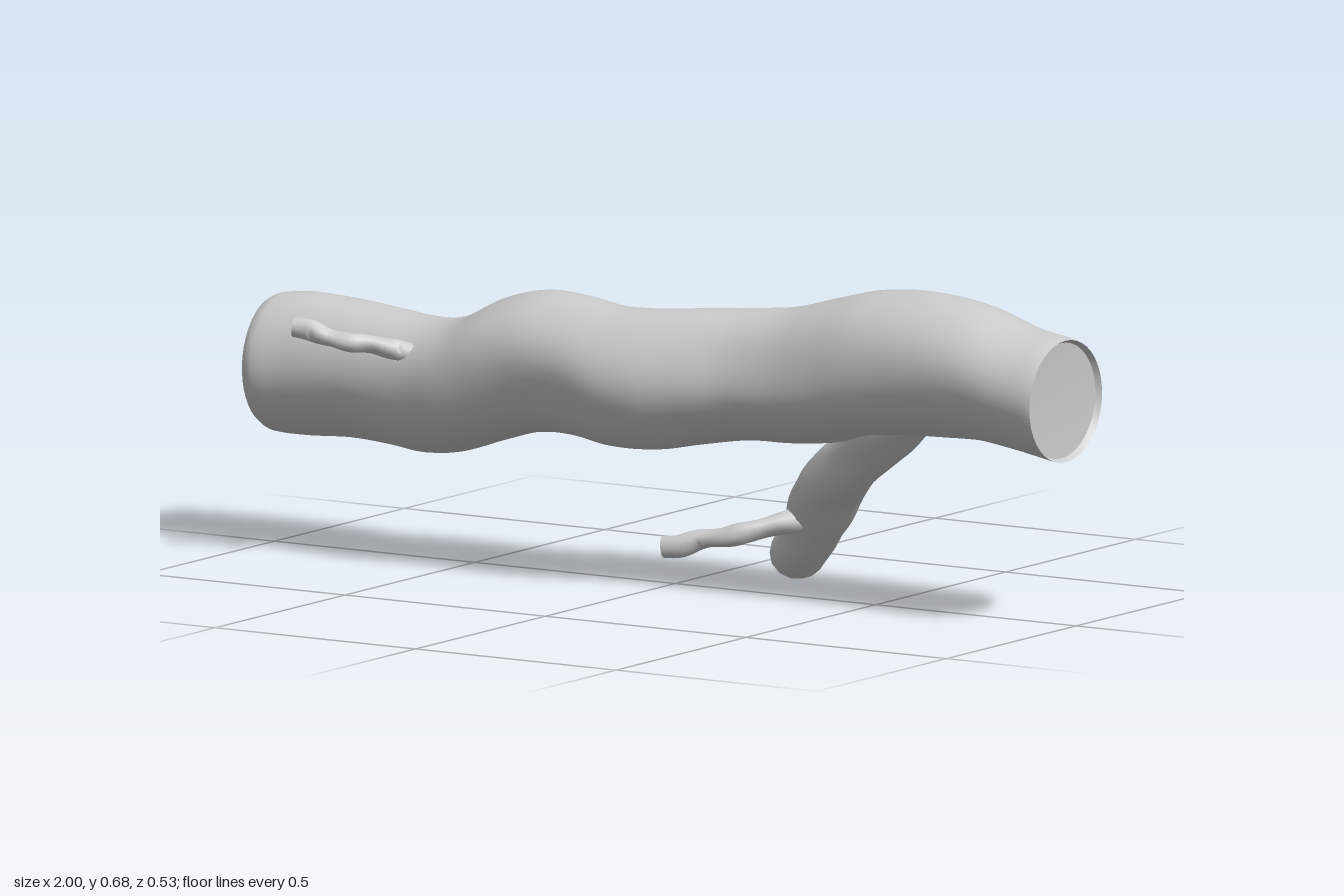
import * as THREE from 'three';
import { toCreasedNormals } from 'three/addons/utils/BufferGeometryUtils.js';

const material = new THREE.MeshStandardMaterial({ color: 0xcccccc });

// Skin a list of rings; each end is closed to the given centre point.
function loft(name, rings, startCentre, endCentre) {
  const sides = rings[0].length;
  const all = [rings[0].map(() => startCentre), ...rings, rings[0].map(() => endCentre)];
  const positions = all.flat().flatMap((p) => p.toArray());
  const index = [];
  for (let i = 0; i < all.length - 1; i++) {
    for (let j = 0; j < sides; j++) {
      const k = (j + 1) % sides;
      const a = i * sides + j, b = i * sides + k;
      const c = b + sides, d = a + sides;
      if (i > 0) index.push(a, b, c);
      if (i < all.length - 2) index.push(a, c, d);
    }
  }
  const geometry = new THREE.BufferGeometry();
  geometry.setAttribute('position', new THREE.Float32BufferAttribute(positions, 3));
  geometry.setIndex(index);
  const mesh = new THREE.Mesh(toCreasedNormals(geometry, 0.8), material);
  mesh.name = name;
  return mesh;
}

// Main log: top, bottom, back and front extents along its length.
function makeLog() {
  const stations = [
    // x, top, bottom, back z, front z
    [-1.0, 0.522, 0.248, -0.125, 0.125],
    [-0.975, 0.532, 0.237, -0.135, 0.135],
    [-0.9, 0.537, 0.235, -0.14, 0.13],
    [-0.8, 0.53, 0.24, -0.145, 0.132],
    [-0.7, 0.52, 0.236, -0.145, 0.145],
    [-0.6, 0.515, 0.23, -0.13, 0.165],
    [-0.5, 0.53, 0.245, -0.108, 0.185],
    [-0.4, 0.578, 0.277, -0.1, 0.193],
    [-0.3, 0.605, 0.305, -0.1, 0.195],
    [-0.2, 0.603, 0.31, -0.1, 0.198],
    [-0.1, 0.59, 0.297, -0.1, 0.205],
    [0.0, 0.59, 0.296, -0.115, 0.195],
    [0.1, 0.597, 0.312, -0.14, 0.17],
    [0.2, 0.603, 0.325, -0.15, 0.147],
    [0.3, 0.614, 0.326, -0.147, 0.145],
    [0.4, 0.64, 0.335, -0.138, 0.152],
    [0.5, 0.665, 0.358, -0.13, 0.16],
    [0.6, 0.676, 0.37, -0.125, 0.163],
    [0.7, 0.675, 0.376, -0.12, 0.166],
    [0.8, 0.66, 0.38, -0.115, 0.17],
    [0.9, 0.63, 0.37, -0.11, 0.176],
    [0.975, 0.618, 0.358, -0.105, 0.18],
    [1.0, 0.612, 0.354, -0.1, 0.18],
  ];
  const curve = (i, j) => new THREE.CatmullRomCurve3(
    stations.map((s) => new THREE.Vector3(s[0], s[i], s[j])), false, 'catmullrom');
  const heights = curve(1, 2), depths = curve(3, 4);
  const sides = 40, steps = 110;

  const ring = (t, scale, dx) => {
    const h = heights.getPoint(t), d = depths.getPoint(t);
    return Array.from({ length: sides }, (_, j) => {
      const a = (j / sides) * Math.PI * 2;
      // soft twisting ridges that fade out at the sawn ends
      const fade = Math.sin(Math.PI * t);
      const r = scale * (1 + fade * (0.025 * Math.sin(3 * a + 4 * h.x) + 0.015 * Math.sin(5 * a - 6 * h.x)));
      return new THREE.Vector3(h.x + dx,
        (h.y + h.z) / 2 + Math.cos(a) * r * (h.y - h.z) / 2,
        (d.y + d.z) / 2 + Math.sin(a) * r * (d.z - d.y) / 2);
    });
  };
  const rings = [];
  for (let i = 0; i <= steps; i++) rings.push(ring(i / steps, 1, 0));
  // shallow rim around the right-hand sawn face
  rings.push(ring(1, 0.95, -0.012));
  return loft('log', rings, new THREE.Vector3(-1, 0.385, 0), new THREE.Vector3(0.98, 0.483, 0.04));
}

// Knobbly branch following a path of [x, y, z, radius] points.
function makeBranch(name, path, sides, lump) {
  const curve = new THREE.CatmullRomCurve3(path.map((p) => new THREE.Vector3(p[0], p[1], p[2])));
  const radius = new THREE.CatmullRomCurve3(
    path.map((p, i) => new THREE.Vector3(i, p[3], 0)), false, 'catmullrom');
  const steps = path.length * 5;
  const frames = curve.computeFrenetFrames(steps, false);
  const rings = [];
  for (let i = 0; i <= steps; i++) {
    const t = i / steps;
    const centre = curve.getPointAt(t), size = radius.getPoint(t).y;
    rings.push(Array.from({ length: sides }, (_, j) => {
      const a = (j / sides) * Math.PI * 2;
      const r = size * (1 + lump * Math.sin(2 * a + 9 * t) + lump * 0.6 * Math.sin(3 * a - 14 * t));
      return centre.clone()
        .addScaledVector(frames.normals[i], Math.cos(a) * r)
        .addScaledVector(frames.binormals[i], Math.sin(a) * r);
    }));
  }
  return loft(name, rings, curve.getPoint(0), curve.getPoint(1));
}

export function createModel() {
  const group = new THREE.Group();
  group.name = 'fallenLog';
  group.add(makeLog());

  // Thick limb under the log, reaching down and back to the ground
  group.add(makeBranch('lowerBranch', [
    [0.58, 0.42, -0.005, 0.06],
    [0.49, 0.35, -0.035, 0.066],
    [0.4, 0.283, -0.065, 0.062],
    [0.32, 0.222, -0.105, 0.066],
    [0.265, 0.15, -0.145, 0.068],
    [0.215, 0.09, -0.18, 0.06],
    [0.165, 0.055, -0.215, 0.063],
  ], 16, 0.06));

  // Thin twig growing from the limb
  group.add(makeBranch('lowerTwig', [
    [0.27, 0.148, -0.12, 0.024],
    [0.21, 0.136, -0.07, 0.024],
    [0.165, 0.122, -0.035, 0.021],
    [0.115, 0.108, -0.01, 0.025],
    [0.06, 0.1, 0.0, 0.019],
    [0.02, 0.084, 0.018, 0.023],
    [-0.012, 0.08, 0.026, 0.023],
  ], 12, 0.06));

  // Thin twig on the front of the log
  group.add(makeBranch('frontTwig', [
    [-0.57, 0.455, 0.125, 0.02],
    [-0.615, 0.465, 0.15, 0.021],
    [-0.65, 0.475, 0.17, 0.019],
    [-0.685, 0.479, 0.2, 0.022],
    [-0.73, 0.489, 0.214, 0.018],
    [-0.765, 0.502, 0.225, 0.022],
    [-0.798, 0.507, 0.238, 0.021],
  ], 12, 0.06));
  return group;
}
